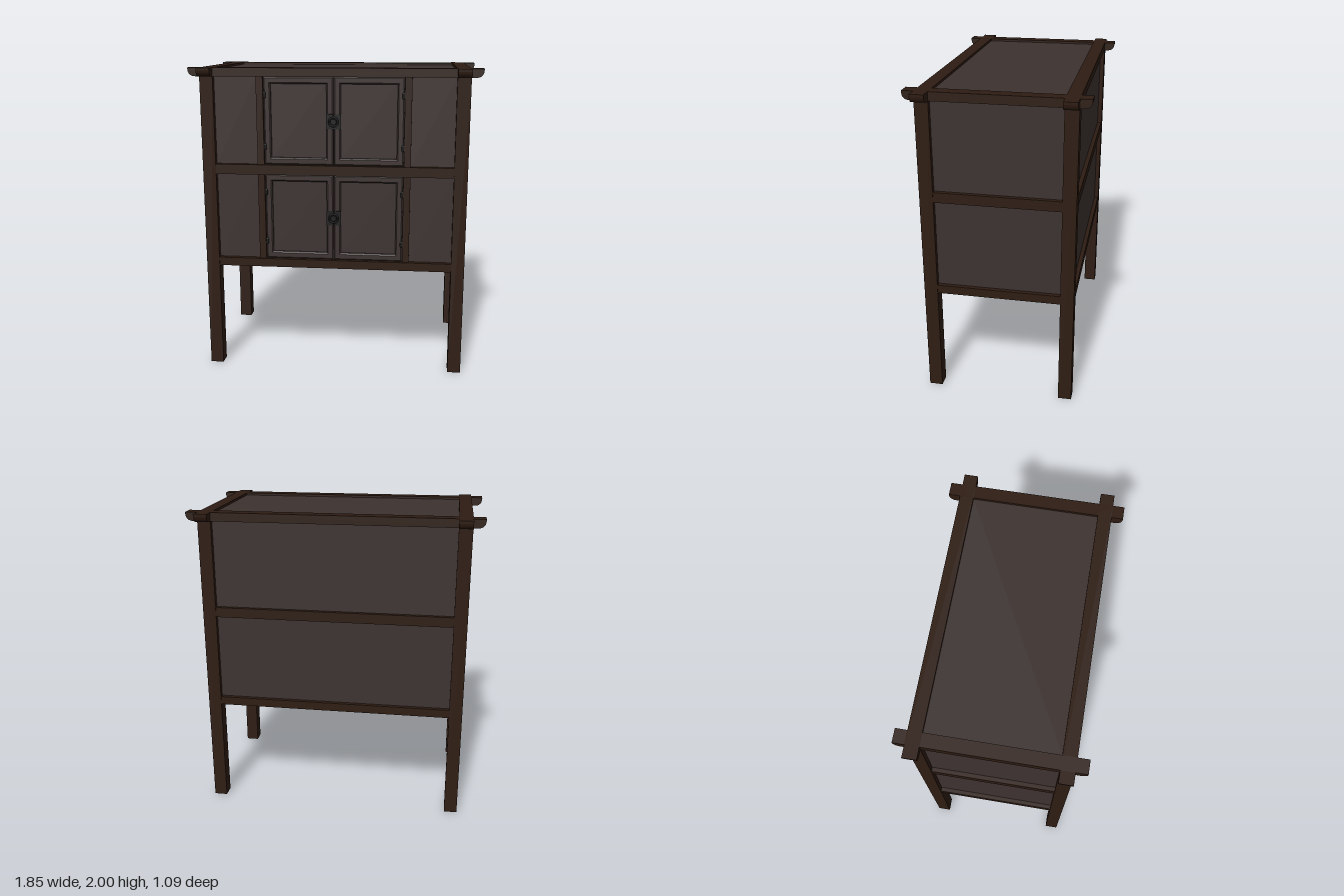
import * as THREE from 'three';

const wood = new THREE.MeshStandardMaterial({ color: 0x2e1c12 });
const panelWood = new THREE.MeshStandardMaterial({ color: 0x3c3230 });
const iron = new THREE.MeshStandardMaterial({ color: 0x1c1c1c });

// Frame lines: centre and width of the legs, then the two storeys of panels
const LX = 0.808, LZ = 0.432, W = 0.085;
const storeys = [[0.755, 1.32], [1.385, 1.945]];

function add(parent, name, geometry, material, x = 0, y = 0, z = 0) {
  const mesh = new THREE.Mesh(geometry, material);
  mesh.name = name;
  mesh.position.set(x, y, z);
  parent.add(mesh);
  return mesh;
}

// Box given by its limits on each axis
function block(parent, name, material, [x0, x1], [y0, y1], [z0, z1]) {
  return add(parent, name, new THREE.BoxGeometry(x1 - x0, y1 - y0, z1 - z0), material,
    (x0 + x1) / 2, (y0 + y1) / 2, (z0 + z1) / 2);
}

// Top beam along x whose ends curve up from below
function beamGeometry(half) {
  const h = 0.055, r = 0.05;
  const s = new THREE.Shape();
  s.moveTo(-half, h);
  s.lineTo(-half, r);
  s.quadraticCurveTo(-half, 0, -half + r, 0);
  s.lineTo(half - r, 0);
  s.quadraticCurveTo(half, 0, half, r);
  s.lineTo(half, h);
  const g = new THREE.ExtrudeGeometry(s, { depth: W, bevelEnabled: false, curveSegments: 8 });
  return g.translate(0, 0, -W / 2);
}

// Door leaf frame with a sloped inner edge
function doorFrameGeometry(w, h) {
  const b = 0.008, m = 0.045;
  const rect = (path, x, y) => {
    path.moveTo(-x, -y);
    path.lineTo(x, -y);
    path.lineTo(x, y);
    path.lineTo(-x, y);
    path.closePath();
    return path;
  };
  const s = rect(new THREE.Shape(), w / 2 - b, h / 2 - b);
  s.holes.push(rect(new THREE.Path(), w / 2 - m + b, h / 2 - m + b));
  return new THREE.ExtrudeGeometry(s, {
    depth: 0.016, bevelEnabled: true, bevelThickness: b, bevelSize: b, bevelSegments: 1,
  });
}

function createDoors(y0, y1) {
  const doors = new THREE.Group();
  doors.name = 'doubleDoor';
  const w = 0.446, h = y1 - y0, mid = (y0 + y1) / 2;
  for (const s of [-1, 1]) {
    add(doors, 'doorFrame', doorFrameGeometry(w, h), panelWood, s * (w / 2 + 0.001), mid, 0.427);
    block(doors, 'doorPanel', panelWood,
      [s * 0.224 - 0.19, s * 0.224 + 0.19], [y0 + 0.02, y1 - 0.02], [0.41, 0.43]);
    // Barrel hinges on the outer edge
    for (const dy of [-0.165, 0.165]) {
      add(doors, 'hinge', new THREE.CapsuleGeometry(0.009, 0.026, 4, 10), iron, s * 0.441, mid + dy, 0.451);
    }
    // Half of the square lock plate
    block(doors, 'lockPlate', iron,
      [s * 0.0245 - 0.0235, s * 0.0245 + 0.0235], [mid - 0.048, mid + 0.048], [0.448, 0.454]);
  }
  const boss = add(doors, 'lockBoss', new THREE.CylinderGeometry(0.018, 0.022, 0.014, 20), iron, 0, mid, 0.46);
  boss.rotation.x = Math.PI / 2;
  add(doors, 'lockRing', new THREE.TorusGeometry(0.028, 0.006, 8, 24), iron, 0, mid, 0.46);
  return doors;
}

export function createModel() {
  const cabinet = new THREE.Group();
  cabinet.name = 'cabinet';
  const ix = LX - W / 2, iz = LZ - W / 2;

  // Legs run the full height
  for (const sx of [-1, 1]) for (const sz of [-1, 1]) {
    add(cabinet, 'leg', new THREE.BoxGeometry(W, 1.95, W), wood, sx * LX, 0.975, sz * LZ);
  }

  // Crossed top beams with overhanging ends
  for (const s of [-1, 1]) {
    add(cabinet, 'longTopBeam', beamGeometry(0.925), wood, 0, 1.945, s * LZ);
    add(cabinet, 'shortTopBeam', beamGeometry(0.545), wood, s * LX, 1.945, 0).rotation.y = Math.PI / 2;
  }

  // Bottom and middle rails on all four sides
  for (const [y0, y1] of [[0.70, 0.755], [1.32, 1.385]]) {
    for (const s of [-1, 1]) {
      add(cabinet, 'longRail', new THREE.BoxGeometry(2 * ix, y1 - y0, W - 0.006), wood, 0, (y0 + y1) / 2, s * LZ);
      add(cabinet, 'sideRail', new THREE.BoxGeometry(W - 0.006, y1 - y0, 2 * iz), wood, s * LX, (y0 + y1) / 2, 0);
    }
  }

  // Recessed top, shelf and floor boards
  for (const [name, y0, y1] of [['topPanel', 1.96, 1.985], ['shelf', 1.34, 1.365], ['floorPanel', 0.72, 0.745]]) {
    block(cabinet, name, panelWood, [-ix, ix], [y0, y1], [-iz, iz]);
  }

  for (const [y0, y1] of storeys) {
    const y = [y0, y1];
    block(cabinet, 'backPanel', panelWood, [-ix, ix], y, [-0.445, -0.425]);
    for (const s of [-1, 1]) {
      const cx = s * 0.81;
      block(cabinet, 'sidePanel', panelWood, [cx - 0.01, cx + 0.01], y, [-iz, iz]);
      // Post and fixed panel beside the doors
      block(cabinet, 'doorPost', wood, [s * 0.47 - 0.022, s * 0.47 + 0.022], y, [0.4, 0.462]);
      block(cabinet, 'frontPanel', panelWood, [s * 0.629 - 0.137, s * 0.629 + 0.137], y, [0.42, 0.44]);
    }
    cabinet.add(createDoors(y0, y1));
  }
  return cabinet;
}
